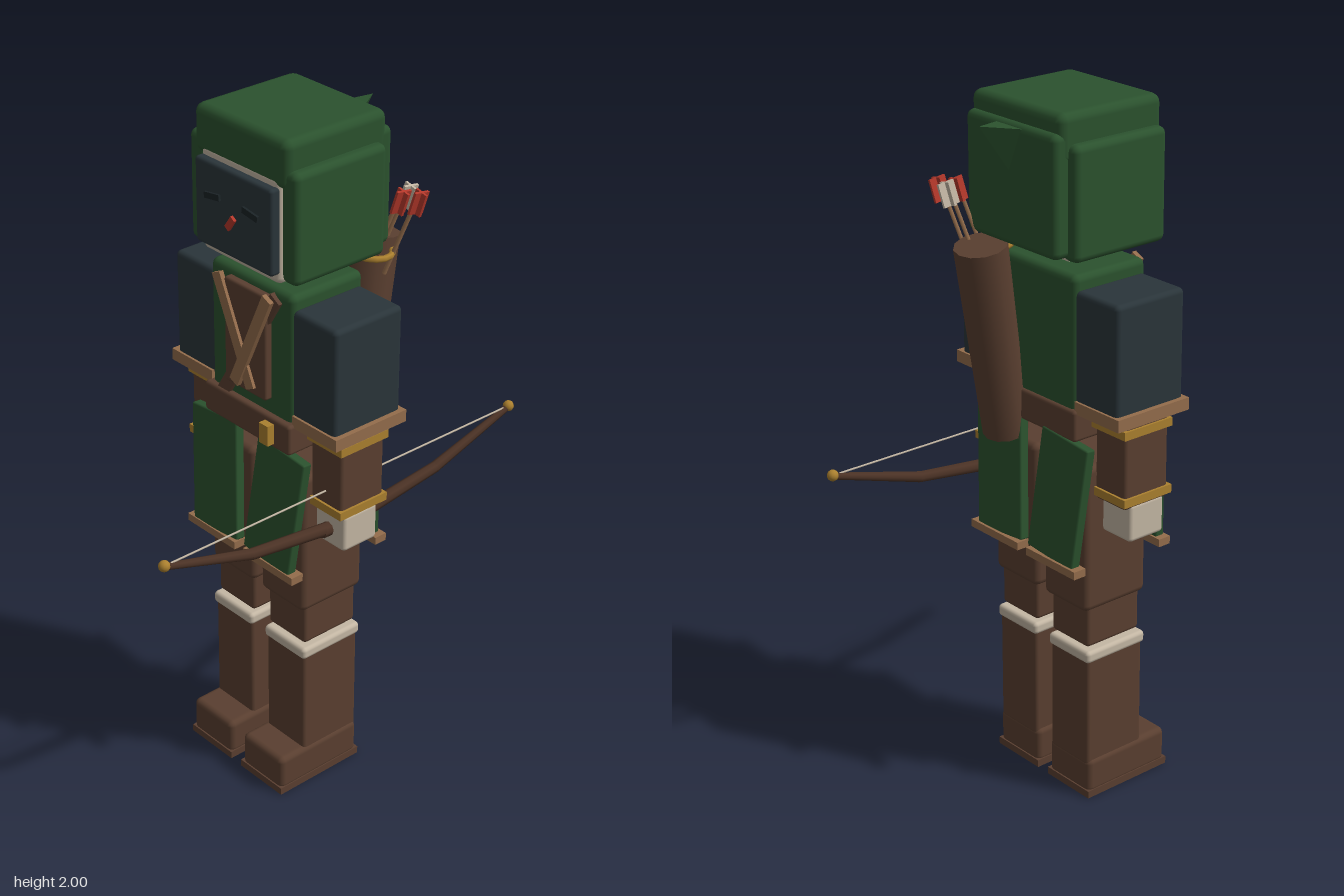
import * as THREE from 'three';
import { RoundedBoxGeometry } from 'three/addons/geometries/RoundedBoxGeometry.js';

export function createModel() {
  const model = new THREE.Group();
  model.name = 'archer';

  const mat = (name, color, extra = {}) => {
    const m = new THREE.MeshStandardMaterial({ color, ...extra });
    m.name = name;
    return m;
  };
  const green = mat('forest green cloth', 0x2b522e);
  const brown = mat('brown leather', 0x5a3f30);
  const tan = mat('tan trim', 0x946d4c);
  const slate = mat('slate cloth', 0x2a353a);
  const cream = mat('cream', 0xc4b7a4);
  const gold = mat('gold', 0xab802f);
  const red = mat('red', 0xb5382b);
  const ink = mat('eye black', 0x1b2326);
  const wood = mat('bow wood', 0x4b3225);

  const add = (name, geo, m, parent = model) => {
    const mesh = new THREE.Mesh(geo, m);
    mesh.name = name;
    parent.add(mesh);
    return mesh;
  };
  // Box from its limits on each axis, with an optional edge radius
  const box = (name, m, [x0, x1], [y0, y1], [z0, z1], r = 0, parent = model) => {
    const s = [x1 - x0, y1 - y0, z1 - z0];
    const geo = r ? new RoundedBoxGeometry(...s, 2, r) : new THREE.BoxGeometry(...s);
    const mesh = add(name, geo, m, parent);
    mesh.position.set((x0 + x1) / 2, (y0 + y1) / 2, (z0 + z1) / 2);
    return mesh;
  };
  const side = (s, a, b) => (s > 0 ? [a, b] : [-b, -a]);
  // Round bar from point a (radius ra) to point b (radius rb)
  const bar = (name, m, a, b, ra, rb, n = 8, parent = model) => {
    const A = new THREE.Vector3(...a), B = new THREE.Vector3(...b);
    const d = B.clone().sub(A);
    const mesh = add(name, new THREE.CylinderGeometry(rb, ra, d.length(), n), m, parent);
    mesh.position.copy(A).add(B).multiplyScalar(0.5);
    mesh.quaternion.setFromUnitVectors(new THREE.Vector3(0, 1, 0), d.normalize());
    return mesh;
  };
  // Flat strap lying on the chest between two points
  const strap = (name, m, [x0, y0], [x1, y1], w, z, depth) => {
    const mesh = add(name, new THREE.BoxGeometry(w, Math.hypot(x1 - x0, y1 - y0), depth), m);
    mesh.position.set((x0 + x1) / 2, (y0 + y1) / 2, z);
    mesh.rotation.z = Math.atan2(x0 - x1, y1 - y0);
  };

  // Head, mask and neck
  box('head', cream, [-0.155, 0.155], [1.6, 1.9], [-0.13, 0.155], 0.02);
  box('neck', cream, [-0.06, 0.06], [1.54, 1.62], [-0.06, 0.06]);
  box('faceMask', slate, [-0.15, 0.15], [1.63, 1.87], [0.14, 0.178], 0.01);
  for (const s of [-1, 1]) {
    const eye = box('eye', ink, side(s, 0.045, 0.105), [1.773, 1.79], [0.176, 0.185]);
    eye.rotation.z = s * -0.15;
  }
  strap('faceMark', red, [-0.015, 1.713], [0.01, 1.748], 0.018, 0.182, 0.009);

  // Hood
  box('hoodTop', green, [-0.182, 0.182], [1.865, 2], [-0.19, 0.155], 0.025);
  box('hoodBack', green, [-0.18, 0.18], [1.62, 1.95], [-0.21, -0.12], 0.02);
  for (const s of [-1, 1])
    box('hoodSide', green, side(s, 0.15, 0.21), [1.61, 1.92], [-0.165, 0.148], 0.02);
  const peak = new THREE.BufferGeometry();
  const L = [-0.055, 1.94, -0.2], R = [0.055, 1.94, -0.2], D = [0, 1.81, -0.2], T = [0, 1.955, -0.305];
  peak.setAttribute('position', new THREE.Float32BufferAttribute(
    [L, R, T, R, D, T, D, L, T].flat(), 3));
  peak.computeVertexNormals();
  add('hoodPeak', peak, green);

  // Torso, vest, straps and belt
  box('torso', green, [-0.165, 0.165], [1.13, 1.56], [-0.13, 0.12], 0.02);
  strap('quiverStrap', brown, [0.11, 1.54], [-0.12, 1.16], 0.04, 0.122, 0.02);
  box('vestPanel', brown, [-0.083, 0.083], [1.23, 1.54], [0.11, 0.142], 0.008);
  for (const s of [-1, 1])
    strap('crossStrap', tan, [s * 0.105, 1.545], [s * -0.03, 1.25], 0.034, 0.147 + s * 0.003, 0.014);
  box('belt', brown, [-0.175, 0.175], [1.1, 1.19], [-0.14, 0.14], 0.01);
  box('buckle', gold, [0.08, 0.115], [1.115, 1.175], [0.135, 0.162]);

  for (const s of [-1, 1]) {
    // Arm
    const arm = new THREE.Group();
    arm.name = s > 0 ? 'leftArm' : 'rightArm';
    model.add(arm);
    box('upperArm', slate, side(s, 0.155, 0.323), [1.2, 1.52], [-0.123, 0.113], 0.015, arm);
    box('sleeveCuff', tan, side(s, 0.165, 0.338), [1.18, 1.215], [-0.13, 0.12], 0, arm);
    box('forearm', brown, side(s, 0.19, 0.31), [0.93, 1.19], [-0.08, 0.075], 0.012, arm);
    for (const y of [1.15, 0.955])
      box('bracerBand', gold, side(s, 0.183, 0.317), [y - 0.012, y + 0.012], [-0.087, 0.082], 0, arm);
    box('hand', cream, side(s, 0.195, 0.31), [0.83, 0.942], [-0.06, 0.062], 0.012, arm);

    // Leg
    const leg = new THREE.Group();
    leg.name = s > 0 ? 'leftLeg' : 'rightLeg';
    model.add(leg);
    box('thigh', brown, side(s, 0.015, 0.195), [0.59, 1.025], [-0.117, 0.107], 0.02, leg);
    box('knee', brown, side(s, 0.032, 0.186), [0.475, 0.61], [-0.1, 0.09], 0.012, leg);
    box('bootBand', cream, side(s, 0.028, 0.198), [0.43, 0.467], [-0.11, 0.104], 0.012, leg);
    box('shin', brown, side(s, 0.033, 0.192), [0.1, 0.45], [-0.105, 0.098], 0.012, leg);
    box('boot', brown, side(s, 0.025, 0.198), [0.01, 0.12], [-0.105, 0.187], 0.018, leg);
    box('sole', brown, side(s, 0.022, 0.2), [0, 0.022], [-0.108, 0.19], 0, leg);

    // Tunic skirt flaps, front and back, with hems
    for (const f of [-1, 1]) {
      const flap = add('skirtFlap', new RoundedBoxGeometry(0.187, 0.36, 0.03, 1, 0.005), green);
      flap.position.set(s * 0.123, 0.925, f > 0 ? 0.137 : -0.143);
      flap.rotation.set(f * -0.08, 0, s * -0.09);
      const z = f > 0 ? 0.15 : -0.16;
      box('skirtHem', tan, side(s, 0.018, 0.222), [0.727, 0.75], [z - 0.02, z + 0.02]);
    }
  }

  // Quiver with rim ring and arrows
  bar('quiver', brown, [0.11, 1.05, -0.142], [0.08, 1.61, -0.243], 0.064, 0.073, 12);
  const ring = add('quiverRing', new THREE.TorusGeometry(0.066, 0.009, 6, 16), gold);
  ring.position.set(0.12, 1.59, -0.185);
  ring.rotation.set(Math.PI / 2 - 0.12, -0.1, 0);
  const arrows = [[0.175, -0.272, cream], [0.19, -0.232, red], [0.225, -0.262, red]];
  for (const [x, z, feather] of arrows) {
    const arrow = new THREE.Group();
    arrow.name = 'arrow';
    model.add(arrow);
    bar('arrowShaft', tan, [x - 0.07, 1.52, z + 0.05], [x, 1.755, z], 0.006, 0.006, 6, arrow);
    const fletching = new THREE.Group();
    fletching.name = 'fletching';
    fletching.position.set(x, 1.733, z);
    fletching.rotation.set(-0.15, 0, -0.22);
    arrow.add(fletching);
    box('feather', feather, [-0.004, 0.004], [-0.032, 0.032], [-0.025, 0.025], 0, fletching);
    box('feather', feather, [-0.02, 0.02], [-0.032, 0.032], [-0.004, 0.004], 0, fletching);
  }

  // Bow held in the left hand
  const bow = new THREE.Group();
  bow.name = 'bow';
  model.add(bow);
  const bx = 0.25;
  bar('bowGrip', wood, [bx, 0.882, -0.09], [bx, 0.882, 0.09], 0.02, 0.02, 8, bow);
  for (const s of [-1, 1]) {
    bar('innerLimb', wood, [bx, 0.882, s * 0.06], [bx, 0.917, s * 0.34], 0.019, 0.016, 8, bow);
    bar('outerLimb', wood, [bx, 0.915, s * 0.33], [bx, 1.003, s * 0.622], 0.016, 0.01, 8, bow);
    const tip = add('bowTip', new THREE.SphereGeometry(0.016, 10, 8), gold, bow);
    tip.position.set(bx, 1.005, s * 0.623);
  }
  bar('bowString', cream, [bx, 1.005, -0.62], [bx, 1.005, 0.62], 0.003, 0.003, 6, bow);

  return model;
}
